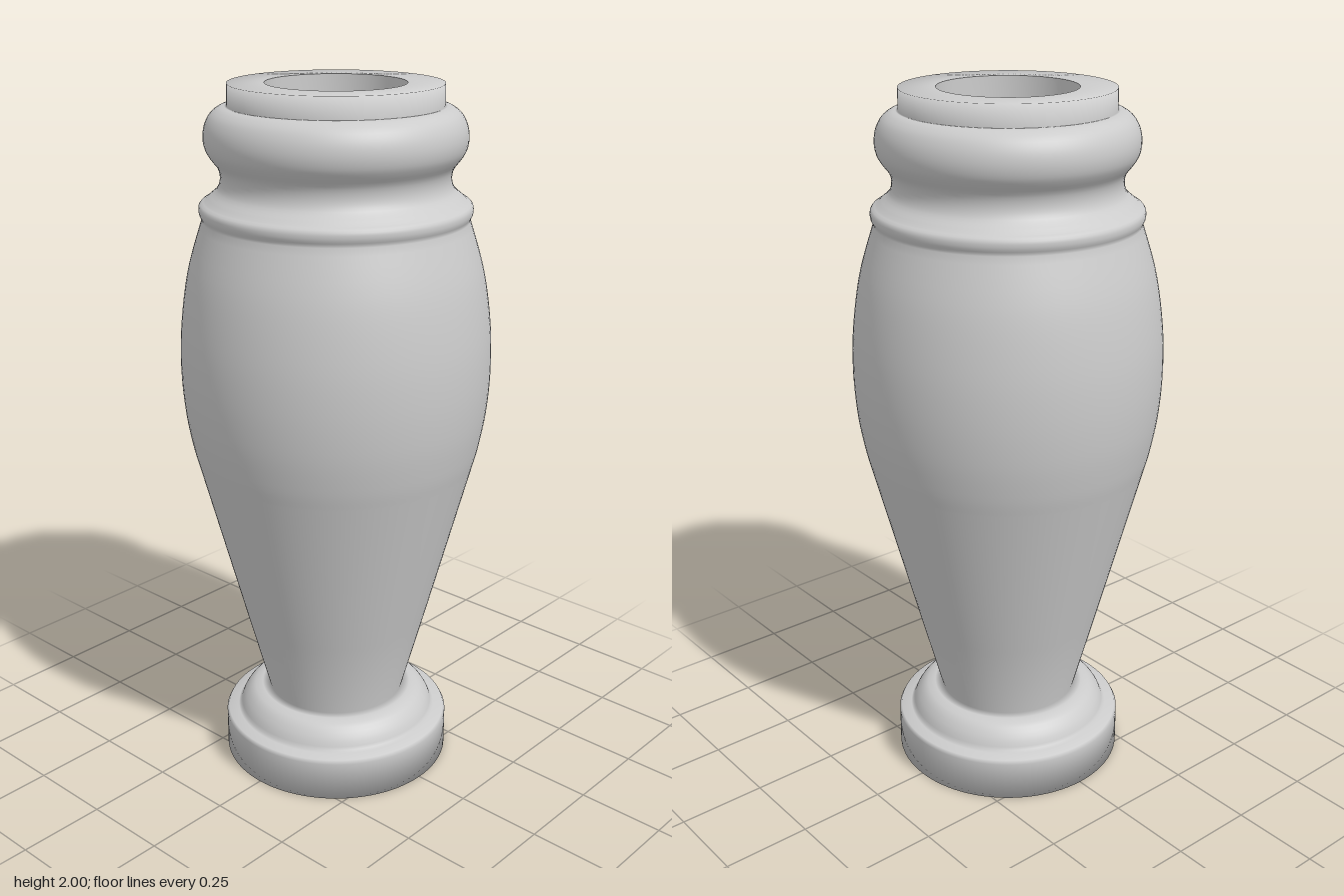
import * as THREE from 'three';

const SEGMENTS = 96;
const points = (pairs) => pairs.map(([r, y]) => new THREE.Vector2(r, y));
const smooth = (pairs, n) => new THREE.SplineCurve(points(pairs)).getPoints(n);

export function createModel() {
  const group = new THREE.Group();
  group.name = 'turnedLeg';

  const profile = [
    // round foot with a stepped, rounded upper lip
    ...points([[0, 0], [0.336, 0], [0.336, 0.115], [0.33, 0.126], [0.3, 0.13]]),
    ...smooth([[0.293, 0.136], [0.28, 0.165], [0.255, 0.193], [0.225, 0.203]], 8),
    // straight taper from the neck
    ...points([[0.202, 0.205], [0.267, 0.45]]),
    // swelling belly
    ...smooth([[0.395, 0.94], [0.41, 1.0], [0.427, 1.1], [0.435, 1.22],
      [0.43, 1.35], [0.407, 1.5], [0.365, 1.64]], 28),
    // thin bead
    ...smooth([[0.366, 1.647], [0.372, 1.662], [0.37, 1.681], [0.354, 1.692]], 8),
    // hollow cove flowing into the thick ring
    ...smooth([[0.345, 1.7], [0.321, 1.722], [0.312, 1.75], [0.317, 1.78], [0.337, 1.807],
      [0.35, 1.83], [0.355, 1.86], [0.35, 1.892], [0.335, 1.92], [0.312, 1.937], [0.29, 1.942]], 32),
    // collar, flat rim and blind bore
    ...points([[0.289, 2], [0.189, 2]]),
  ];

  const material = new THREE.MeshStandardMaterial({ color: 0xcccccc });
  const body = new THREE.Mesh(new THREE.LatheGeometry(profile, SEGMENTS), material);
  body.name = 'turnedBody';
  group.add(body);

  const bore = new THREE.Mesh(
    new THREE.LatheGeometry(points([[0.189, 2], [0.189, 1], [0, 1]]), SEGMENTS), material);
  bore.name = 'bore';
  group.add(bore);

  return group;
}
